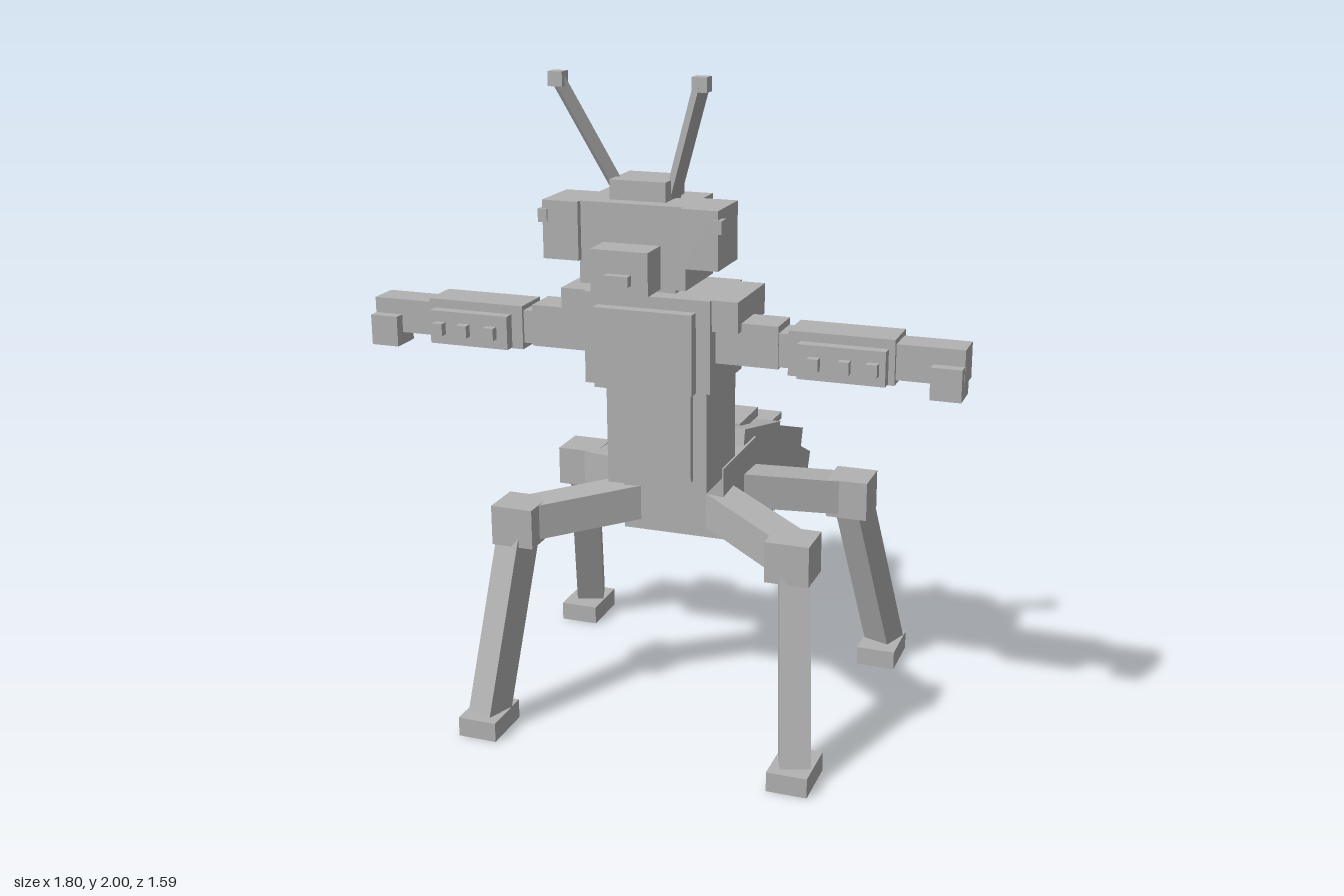
import * as THREE from 'three';

export function createModel() {
  const model = new THREE.Group();
  const grey = new THREE.MeshStandardMaterial({ color: 0xb2b2b2 });
  grey.name = 'plain grey';

  function add(name, geometry) {
    const mesh = new THREE.Mesh(geometry, grey);
    mesh.name = name;
    model.add(mesh);
    return mesh;
  }

  // Box given by its limits along each axis
  function box(name, x0, x1, y0, y1, z0, z1) {
    const mesh = add(name, new THREE.BoxGeometry(Math.abs(x1 - x0), y1 - y0, z1 - z0));
    mesh.position.set((x0 + x1) / 2, (y0 + y1) / 2, (z0 + z1) / 2);
    return mesh;
  }
  const mid = (name, half, ...rest) => box(name, -half, half, ...rest);

  // Square bar running between two points
  function bar(name, a, b, width) {
    const from = new THREE.Vector3(...a), to = new THREE.Vector3(...b);
    const mesh = add(name, new THREE.BoxGeometry(width, width, from.distanceTo(to)));
    mesh.position.copy(from).add(to).multiplyScalar(0.5);
    mesh.lookAt(to);
    return mesh;
  }

  // Head and neck
  mid('head', 0.155, 1.42, 1.65, 0.45, 0.675);
  mid('snout', 0.083, 1.42, 1.54, 0.67, 0.77);
  mid('mouth', 0.035, 1.447, 1.476, 0.77, 0.795);
  mid('headCap', 0.082, 1.65, 1.705, 0.48, 0.63);
  mid('neck', 0.068, 1.36, 1.445, 0.39, 0.52);

  // Upright trunk
  mid('chest', 0.19, 1.1, 1.37, 0.294, 0.575);
  mid('chestPlate', 0.148, 1.1, 1.335, 0.57, 0.61);
  mid('waist', 0.155, 0.775, 1.15, 0.247, 0.505);
  mid('bellyPlate', 0.113, 0.81, 1.1, 0.5, 0.525);
  mid('pelvis', 0.16, 0.58, 0.805, 0.05, 0.37);

  // Drooping abdomen: half width, height, length, y, z, tilt in degrees
  [
    [0.152, 0.3, 0.385, 0.665, -0.012, 13.5],
    [0.139, 0.28, 0.37, 0.57, -0.33, 19],
    [0.098, 0.195, 0.31, 0.45, -0.612, 26],
  ].forEach(([half, height, length, y, z, tilt], i) => {
    const segment = add('abdomenSegment' + (i + 1), new THREE.BoxGeometry(half * 2, height, length));
    segment.position.set(0, y, z);
    segment.rotation.x = -THREE.MathUtils.degToRad(tilt);
  });

  // Level plates above and below the abdomen
  [
    [0.105, 0.81, 0.84, -0.135, 0.05],
    [0.093, 0.705, 0.73, -0.443, -0.25],
    [0.07, 0.55, 0.58, -0.697, -0.53],
  ].forEach((p) => mid('backPlate', ...p));
  [
    [0.087, 0.495, 0.515, -0.1, 0.115],
    [0.08, 0.416, 0.436, -0.28, -0.015],
    [0.055, 0.34, 0.36, -0.65, -0.495],
  ].forEach((p) => mid('undersidePlate', ...p));

  for (const s of [1, -1]) {
    const side = s > 0 ? 'left' : 'right';
    const pair = (name, x0, x1, ...rest) => box(side + name, s * x0, s * x1, ...rest);
    const rod = (name, [ax, ay, az], [bx, by, bz], width) =>
      bar(side + name, [s * ax, ay, az], [s * bx, by, bz], width);

    // Eyes and antennae
    pair('EyeBlock', 0.15, 0.255, 1.486, 1.65, 0.53, 0.695);
    pair('Eye', 0.24, 0.267, 1.588, 1.625, 0.66, 0.7);
    rod('Antenna', [0.078, 1.66, 0.56], [0.205, 1.98, 0.68], 0.032);
    pair('AntennaTip', 0.184, 0.226, 1.96, 2, 0.66, 0.7);

    // Arms
    pair('Shoulder', 0.18, 0.267, 1.28, 1.37, 0.315, 0.56);
    pair('UpperArm', 0.18, 0.375, 1.18, 1.303, 0.417, 0.53);
    pair('Elbow', 0.37, 0.41, 1.185, 1.283, 0.425, 0.525);
    pair('Forearm', 0.405, 0.708, 1.167, 1.297, 0.412, 0.535);
    pair('ForearmPanel', 0.44, 0.69, 1.17, 1.27, 0.53, 0.568);
    for (const x of [0.49, 0.577, 0.656]) {
      pair('Stud', x - 0.016, x + 0.016, 1.2, 1.237, 0.565, 0.592);
    }
    pair('Hand', 0.7, 0.898, 1.18, 1.282, 0.427, 0.522);
    pair('Fingers', 0.81, 0.897, 1.143, 1.235, 0.46, 0.555);

    // Front leg
    rod('FrontThigh', [0.1, 0.67, 0.3], [0.44, 0.628, 0.54], 0.108);
    pair('FrontKnee', 0.363, 0.495, 0.567, 0.69, 0.475, 0.605);
    rod('FrontShin', [0.435, 0.6, 0.545], [0.487, 0.03, 0.69], 0.09);
    pair('FrontFoot', 0.426, 0.547, 0, 0.06, 0.605, 0.77);

    // Back leg
    rod('BackThigh', [0.1, 0.67, 0.14], [0.45, 0.628, -0.015], 0.108);
    pair('BackKnee', 0.392, 0.522, 0.567, 0.69, -0.08, 0.052);
    rod('BackShin', [0.463, 0.6, -0.02], [0.535, 0.03, -0.215], 0.09);
    pair('BackFoot', 0.468, 0.592, 0, 0.06, -0.264, -0.094);
  }
  return model;
}
